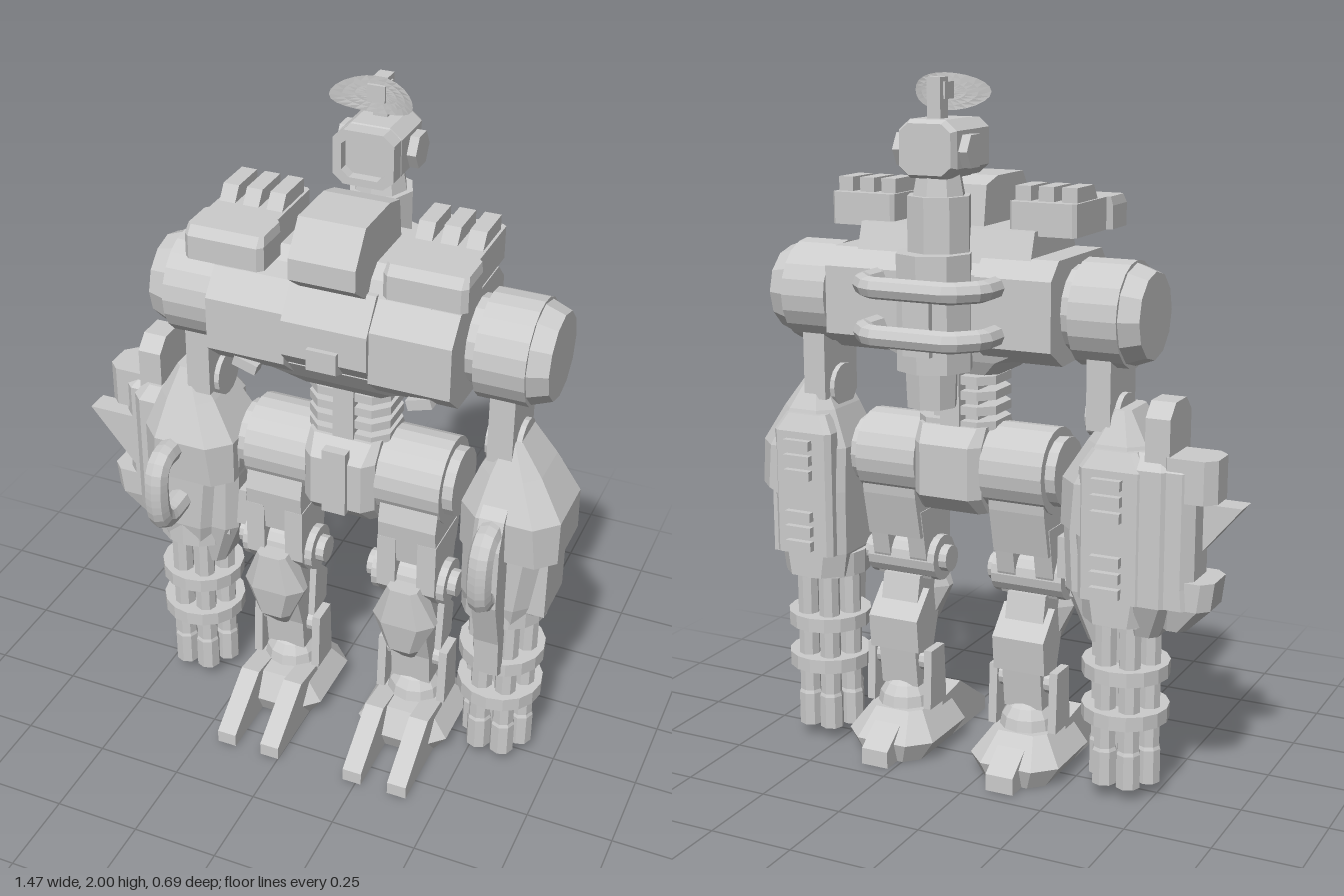
import * as THREE from 'three';

const mat = new THREE.MeshStandardMaterial({ color: 0xcccccc, flatShading: true });
const thin = new THREE.MeshStandardMaterial({ color: 0xcccccc, flatShading: true, side: THREE.DoubleSide });

function add(parent, name, geo, x = 0, y = 0, z = 0, m = mat) {
  const mesh = new THREE.Mesh(geo, m);
  mesh.name = name;
  mesh.position.set(x, y, z);
  parent.add(mesh);
  return mesh;
}
function group(parent, name, x = 0) {
  const g = new THREE.Group();
  g.name = name;
  g.position.x = x;
  parent.add(g);
  return g;
}
const box = (w, h, d) => new THREE.BoxGeometry(w, h, d);
const cylY = (r0, r1, h, n = 12) => new THREE.CylinderGeometry(r0, r1, h, n);
const cylX = (r0, r1, h, n = 16) => new THREE.CylinderGeometry(r0, r1, h, n).rotateZ(-Math.PI / 2);

// Profile of [z, y] points extruded along x, centred
function prism(pts, width) {
  const shape = new THREE.Shape(pts.map(p => new THREE.Vector2(p[0], p[1])));
  return new THREE.ExtrudeGeometry(shape, { depth: width, bevelEnabled: false })
    .translate(0, 0, -width / 2).rotateY(-Math.PI / 2);
}

// Stacked chamfered rectangles: each ring is [y, x0, x1, z0, z1, chamfer]
function loft(rings) {
  const pos = [], idx = [];
  for (const [y, x0, x1, z0, z1, c] of rings) {
    const pts = [[x1, z0 + c], [x1, z1 - c], [x1 - c, z1], [x0 + c, z1],
      [x0, z1 - c], [x0, z0 + c], [x0 + c, z0], [x1 - c, z0]];
    for (const [x, z] of pts) pos.push(x, y, z);
  }
  const last = (rings.length - 1) * 8;
  for (let i = 0; i < last; i += 8)
    for (let j = 0; j < 8; j++) {
      const a = i + j, b = i + (j + 1) % 8;
      idx.push(a, a + 8, b, b, a + 8, b + 8);
    }
  for (let j = 1; j < 7; j++) idx.push(0, j, j + 1, last, last + j + 1, last + j);
  const g = new THREE.BufferGeometry();
  g.setAttribute('position', new THREE.Float32BufferAttribute(pos, 3));
  g.setIndex(idx);
  const flat = g.toNonIndexed();
  flat.computeVertexNormals();
  return flat;
}

function buildTorso(body) {
  const t = group(body, 'torso');
  const chest = [[.22, 1.3], [.22, 1.45], [.16, 1.52], [-.13, 1.52], [-.18, 1.47], [-.18, 1.28], [-.1, 1.23], [.15, 1.24]];
  add(t, 'chestCore', prism(chest.map(([z, y]) => [z * .88, y]), .26));
  add(t, 'chestTop', prism([[.17, 1.5], [.14, 1.56], [.1, 1.59], [-.11, 1.59], [-.14, 1.5]], .53));
  add(t, 'chestPlate', prism([[.2, 1.3], [.235, 1.34], [.235, 1.44], [.17, 1.53], [0, 1.53], [0, 1.3]], .24));
  add(t, 'chestWedge', prism([[.2, 1.3], [.25, 1.32], [.25, 1.38], [.2, 1.38]], .085));
  add(t, 'belly', loft([[1.185, -.14, .14, -.1, .1, .03], [1.225, -.18, .18, -.12, .14, .03], [1.29, -.33, .33, -.14, .19, .04]]));
  add(t, 'cockpit', prism([[.245, 1.57], [.245, 1.63], [.18, 1.72], [.02, 1.72], [-.05, 1.7], [-.08, 1.5], [.15, 1.5]], .185));
  for (const s of [-1, 1]) {
    add(t, 'chestBlock', prism(chest, .225), s * .232);
    add(t, 'chestStrap', box(.07, .03, .04), s * .25, 1.25, .17).rotation.z = s * .3;
    // Shoulder pods with three launch tubes
    const pod = group(t, 'launcherPod', s * .275);
    add(pod, 'podBody', loft([[1.575, -.098, .098, -.09, .16, .01], [1.665, -.098, .098, -.09, .16, .01]]));
    add(pod, 'podFront', loft([[1.575, -.112, .112, .12, .25, .015], [1.64, -.112, .112, .12, .25, .015], [1.665, -.107, .107, .12, .23, .01]]));
    for (let i = -1; i <= 1; i++)
      add(pod, 'launchTube', prism([[.08, 1.66], [.05, 1.705], [-.06, 1.705], [-.06, 1.66]], .045), i * .068);
    // Shoulder drum
    add(t, 'shoulderCollar', cylX(.12, .12, .06), s * .36, 1.375, 0);
    add(t, 'shoulderDrum', cylX(.147, .147, .14, 20), s * .445, 1.37, 0);
    add(t, 'shoulderCap', s > 0 ? cylX(.12, .14, .055, 12) : cylX(.14, .12, .055, 12), s * .5425, 1.37, 0);
    add(t, 'armPost', box(.07, .2, .18), s * .445, 1.16, 0);
    add(t, 'elbowJoint', cylX(.065, .065, .1), s * .445, 1.09, 0);
  }
  // Back column and wraparound rails
  add(t, 'columnFoot', cylY(.075, .07, .12, 8), 0, 1.17, -.2);
  add(t, 'backColumn', cylY(.108, .108, .32, 8), 0, 1.37, -.18);
  add(t, 'columnNeck', cylY(.09, .09, .16, 8), 0, 1.6, -.15);
  add(t, 'columnPanel', box(.08, .2, .04), 0, 1.36, -.27);
  const rail = [[-.18, -.14], [-.18, -.26], [-.12, -.325], [.12, -.325], [.18, -.26], [.18, -.14]];
  for (const y of [1.315, 1.445]) {
    const path = new THREE.CurvePath();
    for (let i = 0; i < 5; i++)
      path.add(new THREE.LineCurve3(new THREE.Vector3(rail[i][0], y, rail[i][1]), new THREE.Vector3(rail[i + 1][0], y, rail[i + 1][1])));
    add(t, 'backRail', new THREE.TubeGeometry(path, 30, .03, 8));
  }
  // Ribbed waist
  add(t, 'waistCore', box(.14, .2, .12), 0, 1.1, 0);
  add(t, 'waistSpine', box(.06, .2, .2), 0, 1.1, 0);
  for (let i = 0; i < 4; i++)
    add(t, 'waistRib', loft([[0, -.12, .12, -.09, .09, .04], [.025, -.12, .12, -.09, .09, .04]]), 0, 1.02 + i * .043);
}

function buildHead(body) {
  const h = group(body, 'head');
  add(h, 'neck', cylY(.06, .075, .08, 8), 0, 1.71, -.15);
  const p = [[-.085, -.05], [-.055, -.075], [.055, -.075], [.085, -.05], [.085, .05], [.055, .075], [-.055, .075], [-.085, .05]];
  const outline = k => p.map(([x, y]) => new THREE.Vector2(x * k, y * k));
  add(h, 'skull', new THREE.ExtrudeGeometry(new THREE.Shape(outline(.9)), { depth: .14, bevelThickness: .02, bevelSize: .01, bevelSegments: 1 }), 0, 1.805, -.21);
  const frame = new THREE.Shape(outline(1));
  frame.holes.push(new THREE.Path(outline(.72).reverse()));
  add(h, 'visorFrame', new THREE.ExtrudeGeometry(frame, { depth: .05, bevelEnabled: false }), 0, 1.805, -.07);
  for (const s of [-1, 1]) add(h, 'earDisc', cylX(.05, .05, .03, 6), s * .097, 1.8, -.155);
  add(h, 'mast', box(.04, .13, .045), 0, 1.925, -.155);
  add(h, 'mastHead', box(.05, .045, .06), 0, 1.955, -.13);
  // Oval dish with both ends bent forward
  const dish = new THREE.RingGeometry(.001, 1, 24, 4).scale(.115, .05, 1);
  const v = dish.attributes.position;
  for (let i = 0; i < v.count; i++) v.setZ(i, .045 * (v.getX(i) / .115) ** 2);
  add(h, 'radarDish', dish, 0, 1.95, -.11, thin);
}

function buildLegs(body) {
  add(body, 'pelvis', loft([[.78, -.105, .105, -.09, .1, .02], [.83, -.105, .105, -.14, .15, .03], [.98, -.105, .105, -.14, .15, .03], [1.03, -.105, .105, -.1, .1, .02]]));
  add(body, 'pelvisPlate', box(.07, .2, .03), 0, .92, .15);
  for (const s of [-1, 1]) {
    const l = group(body, s > 0 ? 'leftLeg' : 'rightLeg', s * .203);
    add(l, 'hipDrum', cylX(.125, .125, .19, 20), s * -.005, .91, 0);
    add(l, 'hipCap', cylX(.1, .1, .03), s * .105, .91, 0);
    add(l, 'thigh', prism([[-.1, .9], [.1, .9], [.125, .8], [.11, .67], [-.06, .67], [-.09, .8]], .17));
    for (const k of [-1, 1])
      add(l, 'thighFork', prism([[-.06, .75], [.12, .75], [.12, .58], [.08, .53], [0, .53], [-.03, .6]], .055), k * .06);
    add(l, 'kneeDrum', cylX(.068, .068, .22), 0, .59, .04);
    add(l, 'kneeBolt', cylX(.04, .04, .27, 12), 0, .59, .04);
    add(l, 'kneeGuard', loft([[.31, -.02, .02, .04, .085, .008], [.38, -.05, .05, .05, .15, .02], [.48, -.095, .095, .06, .165, .04], [.6, -.045, .045, .07, .16, .015]]));
    add(l, 'shin', prism([[.09, .54], [.1, .42], [.06, .3], [.05, .2], [-.04, .2], [-.06, .36], [-.02, .54]], .12));
    add(l, 'calf', prism([[0, .5], [.02, .3], [-.07, .32], [-.08, .42]], .16));
    add(l, 'anklePin', cylX(.035, .035, .21, 12), 0, .28, 0);
    for (const k of [-1, 1]) {
      add(l, 'ankleFork', prism([[.04, .32], [.05, .14], [-.05, .14], [-.04, .32]], .025), k * .095);
      add(l, 'toe', prism([[.33, 0], [.33, .04], [.16, .155], [.04, .14], [.04, 0]], .058), k * .07);
    }
    add(l, 'ankleBall', new THREE.SphereGeometry(.085, 12, 8), 0, .14, 0);
    add(l, 'foot', loft([[0, -.1, .1, -.14, .14, .04], [.06, -.14, .14, -.16, .17, .06], [.14, -.085, .085, -.09, .13, .03]]));
    add(l, 'heel', prism([[-.1, 0], [-.1, .12], [-.2, .05], [-.2, 0]], .085));
  }
}

function buildArm(root, name, x) {
  const a = group(root, name, x);
  add(a, 'forearmHousing', loft([[.53, -.1, .1, -.14, .1, .05], [.6, -.11, .11, -.14, .115, .05], [.77, -.11, .13, -.14, .12, .05], [.79, -.11, .17, -.14, .15, .05],
    [.92, -.11, .17, -.14, .16, .06], [1.03, -.07, .1, -.11, .11, .04], [1.12, -.02, .035, -.07, .07, .015]]));
  add(a, 'sidePanel', prism([[.08, .58], [.08, .8], [-.09, .8], [-.09, .58]], .06), .11);
  // Front grip
  const grip = new THREE.CatmullRomCurve3([[.1, .89], [.215, .89], [.243, .86], [.243, .73], [.215, .695], [.1, .695]]
    .map(([z, y]) => new THREE.Vector3(0, y, z)), false, 'centripetal');
  add(a, 'grip', new THREE.TubeGeometry(grip, 20, .035, 8));
  // Back plate with vent blocks
  add(a, 'backPlate', loft([[.6, -.09, .1, -.145, -.08, .015], [.97, -.09, .1, -.145, -.08, .015], [1.02, -.06, .07, -.125, -.06, .015]]));
  for (const y of [.615, .83])
    for (let i = 0; i < 3; i++) add(a, 'vent', box(.085, .028, .035), .01, y + .015 + i * .045, -.148);
  // Rotary gun
  add(a, 'gunCollar', cylY(.125, .125, .07, 16), 0, .56, -.01);
  add(a, 'gunCore', cylY(.05, .05, .44, 8), 0, .32, -.01);
  for (const y of [.245, .375]) add(a, 'gunRing', cylY(.125, .125, .042, 16), 0, y, -.01);
  const tube = new THREE.LatheGeometry([[.02, .12], [.02, .04], [.036, .04], [.036, .14], [.032, .15], [.032, .55]]
    .map(([r, y]) => new THREE.Vector2(r, y)), 8);
  for (let i = 0; i < 6; i++)
    add(a, 'barrel', tube, .072 * Math.cos(i * Math.PI / 3), 0, -.01 + .072 * Math.sin(i * Math.PI / 3), thin);
  return a;
}

// Extra armour and blade on the right forearm
function buildShield(arm) {
  add(arm, 'shieldMount', loft([[.5, -.12, -.04, -.1, .05, .02], [.6, -.17, -.04, -.14, .08, .03], [.98, -.17, -.04, -.14, .08, .03], [1.02, -.14, -.04, -.1, .05, .02]]));
  add(arm, 'shieldPlate', loft([[.6, -.23, -.12, -.13, .03, .03], [.66, -.225, -.12, -.13, .03, .03], [.98, -.225, -.12, -.13, .03, .03], [1.0, -.2, -.12, -.1, .01, .02]]));
  add(arm, 'shieldTop', loft([[.9, -.283, -.12, -.125, .01, .03], [1.02, -.283, -.12, -.125, .01, .03]]));
  add(arm, 'shieldBottom', loft([[.53, -.2, -.13, -.1, .01, .02], [.6, -.27, -.13, -.12, .03, .03], [.68, -.28, -.15, -.12, .03, .03]]));
  const blade = new THREE.Shape([[-.335, .88], [-.06, .55], [-.1, .88]].map(([x, y]) => new THREE.Vector2(x, y)));
  add(arm, 'blade', new THREE.ExtrudeGeometry(blade, { depth: .07, bevelEnabled: false }), 0, 0, -.04);
  add(arm, 'topFin', prism([[.04, .95], [.04, 1.12], [.0, 1.16], [-.08, 1.16], [-.12, 1.12], [-.12, .95]], .07), -.12);
  add(arm, 'innerBox', box(.09, .12, .13), .145, .68, 0);
  add(arm, 'innerGuard', loft([[.45, .03, .1, -.07, .06, .02], [.6, .03, .16, -.1, .09, .03], [.9, .03, .175, -.1, .1, .03]]));
}

export function createModel() {
  const root = new THREE.Group();
  root.name = 'walkingRobot';
  const body = group(root, 'body', .105);
  buildTorso(body);
  buildHead(body);
  buildLegs(body);
  const left = buildArm(root, 'leftArm', .565);
  add(left, 'frontGuard', prism([[.1, 1], [.17, .93], [.2, .85], [.2, .66], [.15, .5], [.14, .38], [.1, .36]], .07));
  buildShield(buildArm(root, 'rightArm', -.403));
  return root;
}
